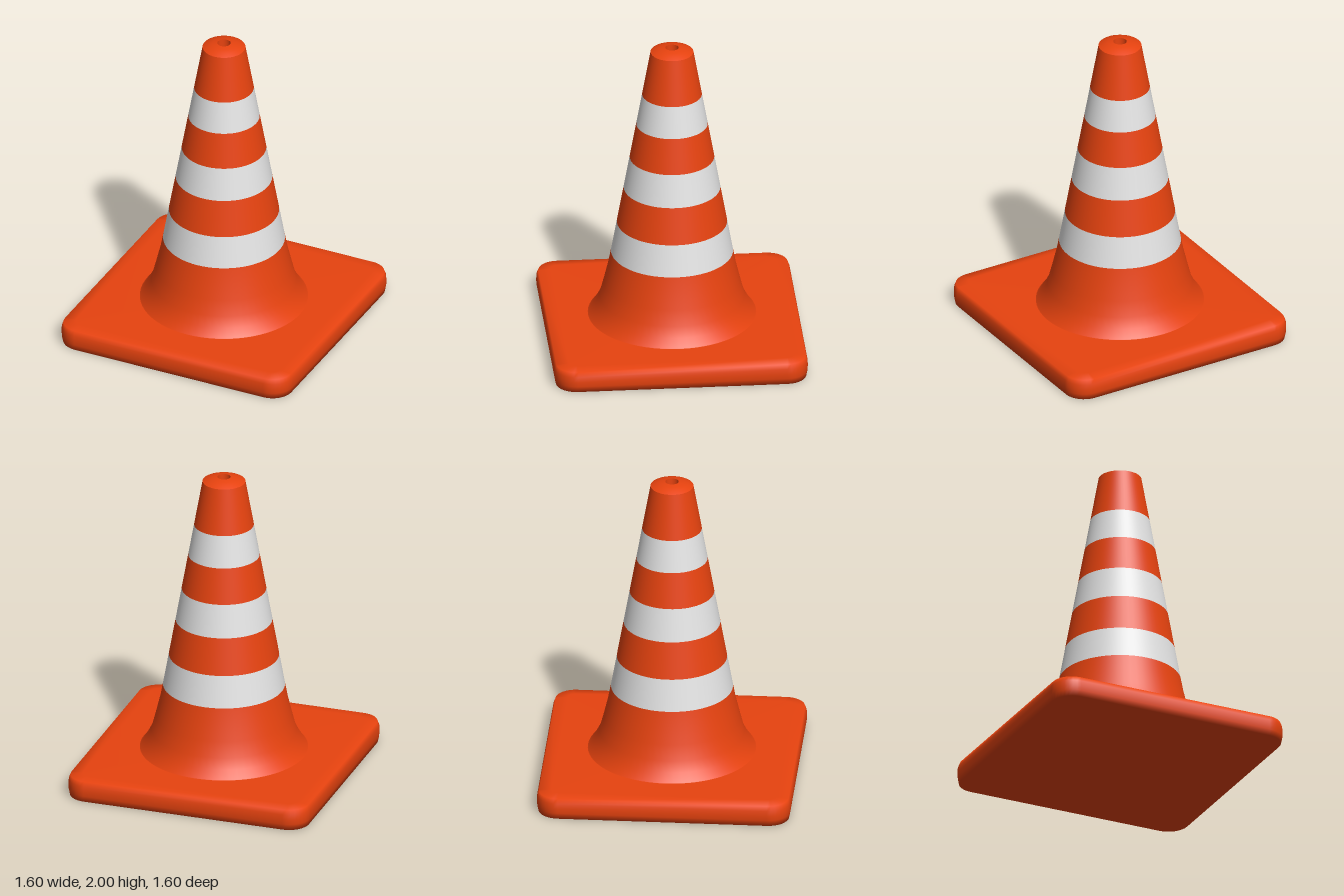
import * as THREE from 'three';

const orange = new THREE.MeshStandardMaterial({ color: 0xe8430f });
orange.name = 'orange';
const white = new THREE.MeshStandardMaterial({ color: 0xe4e4e4 });
white.name = 'reflective white';

// Rounded-square slab lofted through [height, half width] levels
function slab(levels, half, radius, steps = 8) {
  const pos = [], index = [], n = 4 * (steps + 1);
  for (const [y, h] of levels) {
    const r = Math.max(radius - (half - h), 0.03);
    for (let c = 0; c < 4; c++) {
      const mid = Math.PI / 4 + c * Math.PI / 2;
      const cx = Math.sign(Math.cos(mid)) * (h - r), cz = -Math.sign(Math.sin(mid)) * (h - r);
      for (let s = 0; s <= steps; s++) {
        const a = (c + s / steps) * Math.PI / 2;
        pos.push(cx + r * Math.cos(a), y, cz - r * Math.sin(a));
      }
    }
  }
  const last = levels.length - 1, bottom = n * levels.length, top = bottom + 1;
  pos.push(0, levels[0][0], 0, 0, levels[last][0], 0);
  for (let j = 0; j < n; j++) {
    const k = (j + 1) % n;
    for (let i = 0; i < last; i++) {
      const a = i * n + j, b = i * n + k;
      index.push(a, b, b + n, a, b + n, a + n);
    }
    index.push(bottom, k, j, top, last * n + j, last * n + k);
  }
  const g = new THREE.BufferGeometry();
  g.setAttribute('position', new THREE.Float32BufferAttribute(pos, 3));
  g.setIndex(index);
  g.computeVertexNormals();
  return g;
}

export function createModel() {
  const group = new THREE.Group();
  const add = (name, geometry, material) => {
    const mesh = new THREE.Mesh(geometry, material);
    mesh.name = name;
    group.add(mesh);
  };
  const lathe = (name, points, material) =>
    add(name, new THREE.LatheGeometry(points.map(([r, y]) => new THREE.Vector2(r, y)), 64), material);

  // Square foot with softened edges
  add('base', slab([[0, 0.79], [0.04, 0.798], [0.07, 0.8], [0.105, 0.798], [0.135, 0.787], [0.144, 0.71]], 0.8, 0.14), orange);

  // Flared foot of the cone
  lathe('flare', [[0.54, 0.142], [0.525, 0.145], [0.49, 0.2], [0.456, 0.265], [0.43, 0.365], [0.402, 0.48], [0.384, 0.575]], orange);

  // Alternating bands of the straight cone
  const heights = [0.575, 0.782, 1.022, 1.236, 1.468, 1.675, 1.972];
  const radius = y => 0.384 - (y - 0.575) * (0.384 - 0.135) / (1.972 - 0.575);
  for (let i = 0; i < heights.length - 1; i++) {
    const [a, b] = [heights[i], heights[i + 1]];
    const isStripe = i % 2 === 0 && i < 5;
    lathe(isStripe ? 'whiteStripe' : 'orangeBand', [[radius(a), a], [radius(b), b]], isStripe ? white : orange);
  }

  // Domed cap with a small recessed hole
  lathe('cap', [[0.135, 1.972], [0.105, 1.986], [0.075, 1.995], [0.042, 2]], orange);
  lathe('holeWall', [[0.042, 2], [0.042, 1.93]], orange);
  lathe('holeFloor', [[0.042, 1.93], [0, 1.93]], orange);
  return group;
}
